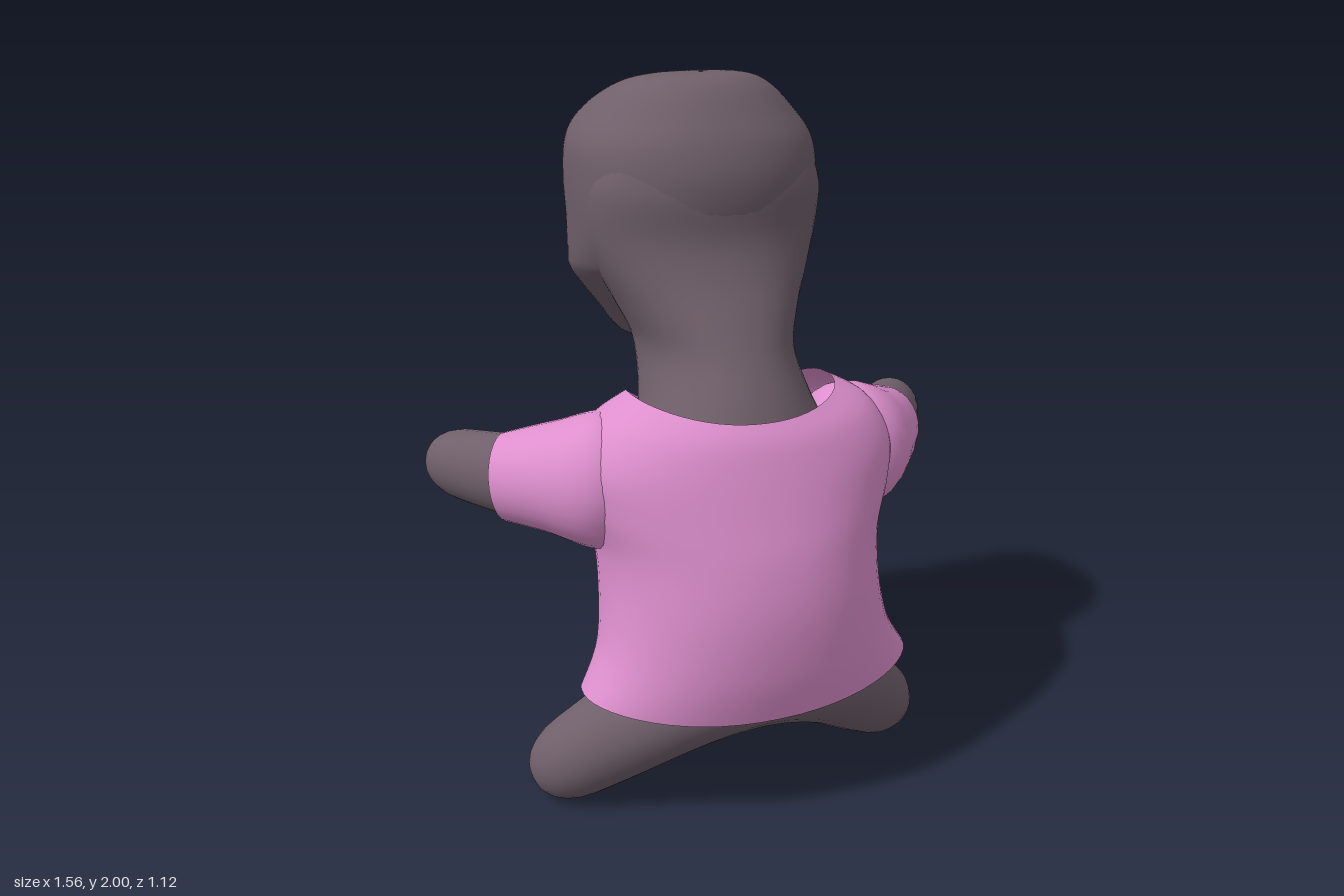
import * as THREE from 'three';

const skin = new THREE.MeshStandardMaterial({ color: 0x6f5f6a, side: THREE.DoubleSide });
skin.name = 'dusky skin';
const cloth = new THREE.MeshStandardMaterial({ color: 0xdd8fcd, side: THREE.DoubleSide });
cloth.name = 'pink cloth';

// Smooth interpolation through a list of number rows, t in 0..1
function sample(rows, t) {
  const f = t * (rows.length - 1);
  const i = Math.min(Math.floor(f), rows.length - 2);
  const u = f - i;
  const at = (k) => rows[Math.max(0, Math.min(rows.length - 1, k))];
  const [a, b, c, d] = [at(i - 1), at(i), at(i + 1), at(i + 2)];
  return b.map((_, k) => {
    const m0 = (c[k] - a[k]) / 2, m1 = (d[k] - b[k]) / 2;
    return b[k] + u * (m0 + u * (3 * (c[k] - b[k]) - 2 * m0 - m1 + u * (2 * (b[k] - c[k]) + m0 + m1)));
  });
}

// Skin a list of closed rings of points
function loft(name, rings, material) {
  const n = rings[0].length, index = [];
  for (let i = 0; i < rings.length - 1; i++) {
    for (let j = 0; j < n; j++) {
      const a = i * n + j, b = i * n + (j + 1) % n;
      index.push(a, b, b + n, a, b + n, a + n);
    }
  }
  const geo = new THREE.BufferGeometry().setFromPoints(rings.flat());
  geo.setIndex(index);
  geo.computeVertexNormals();
  const mesh = new THREE.Mesh(geo, material);
  mesh.name = name;
  return mesh;
}

// Upright body: rows are [ySide, yBack, yFaceSide, halfWidth, zBack, zFaceSide].
// The back half is round, the face half is squared off by the power.
function upright(name, rows, material, power, steps, segs, shape) {
  const rings = [];
  for (let i = 0; i <= steps; i++) {
    const [ys, yb, yf, hx, zb, zf] = sample(rows, i / steps);
    const ring = [];
    for (let j = 0; j < segs; j++) {
      const a = (j / segs) * Math.PI * 2, s = Math.sin(a), c = Math.cos(a);
      const q = c > 0 ? 0.95 : power;
      const sp = Math.sign(s) * Math.abs(s) ** q, cp = Math.sign(c) * Math.abs(c) ** q;
      const p = new THREE.Vector3(hx * sp, ys + ((c > 0 ? yb : yf) - ys) * c * c,
        (zb + zf) / 2 + cp * (zb - zf) / 2);
      if (shape) shape(p, c);
      ring.push(p);
    }
    rings.push(ring);
  }
  return loft(name, rings, material);
}

// Limb along a path: rows are [x, y, z, radius across, radius along ref]
function limb(name, rows, ref, material, roundStart, roundEnd, cap = 0.25) {
  const rings = [], steps = 32, segs = 28;
  const taper = (d) => (d < cap ? Math.sqrt(Math.max(0.0004, 1 - (1 - d / cap) ** 2)) : 1);
  for (let i = 0; i <= steps; i++) {
    const u = 0.5 - 0.5 * Math.cos((i / steps) * Math.PI);
    const row = sample(rows, u);
    const centre = new THREE.Vector3(...row.slice(0, 3));
    const before = sample(rows, Math.max(0, u - 0.02)), after = sample(rows, Math.min(1, u + 0.02));
    const dir = new THREE.Vector3(...after.slice(0, 3)).sub(new THREE.Vector3(...before.slice(0, 3))).normalize();
    const side = new THREE.Vector3().crossVectors(ref, dir).normalize();
    const up = new THREE.Vector3().crossVectors(dir, side);
    const k = (roundStart ? taper(u) : 1) * (roundEnd ? taper(1 - u) : 1);
    const ring = [];
    for (let j = 0; j < segs; j++) {
      const a = (j / segs) * Math.PI * 2;
      ring.push(centre.clone().addScaledVector(side, Math.cos(a) * row[3] * k)
        .addScaledVector(up, Math.sin(a) * row[4] * k));
    }
    rings.push(ring);
  }
  return loft(name, rings, material);
}

// Dents and bumps of the face, which looks toward -z
const bump = (x, y, cx, cy, sx, sy) => Math.exp(-(((x - cx) / sx) ** 2) - ((y - cy) / sy) ** 2);
function sculptFace(p, c) {
  if (c >= 0) return;
  const y = p.y;
  p.x *= 1 - 0.28 * c * c * (1 - THREE.MathUtils.smoothstep(y, 1.42, 1.58)); // narrow jaw
  const x = Math.abs(p.x);
  const fade = Math.min(1, -c * 2.5);
  p.z += fade * (
    0.11 * bump(x, y, 0.19, 1.73, 0.085, 0.08)       // eye sockets
    - 0.025 * bump(x, y, 0.2, 1.84, 0.12, 0.04)      // brows
    + 0.03 * bump(x, y, 0, 1.85, 0.09, 0.06)         // dip between brows
    - 0.02 * bump(x, y, 0.22, 1.6, 0.08, 0.05)       // cheekbones
    - 0.035 * bump(x, y, 0, 1.6, 0.05, 0.06)         // nose
    + 0.05 * bump(x, y, 0.04, 1.56, 0.025, 0.025)    // nostrils
    + 0.04 * bump(x, y, 0, 1.495, 0.15, 0.022)       // mouth
    - 0.055 * bump(x, y, 0, 1.445, 0.16, 0.03));     // lower lip
}

export function createModel() {
  const model = new THREE.Group();
  const Y = new THREE.Vector3(0, 1, 0), Z = new THREE.Vector3(0, 0, 1);

  // Head, from chin to crown
  const level = (y, hx, zb, zf) => [y, y, y, hx, zb, zf];
  model.add(upright('head', [
    level(1.19, 0.01, -0.42, -0.45),
    level(1.2, 0.1, -0.32, -0.51),
    level(1.24, 0.15, -0.22, -0.55),
    level(1.3, 0.2, -0.1, -0.56),
    level(1.38, 0.27, -0.01, -0.51),
    level(1.45, 0.325, 0.05, -0.465),
    level(1.5, 0.34, 0.1, -0.43),
    level(1.6, 0.347, 0.165, -0.42),
    level(1.72, 0.352, 0.185, -0.44),
    level(1.82, 0.34, 0.165, -0.43),
    level(1.9, 0.285, 0.12, -0.4),
    level(1.965, 0.21, 0.07, -0.28),
    level(1.995, 0.13, 0.02, -0.15),
    level(2.0, 0.005, -0.05, -0.06),
  ], skin, 0.78, 96, 80, sculptFace));

  // Slanted neck, widening into the back of the skull
  model.add(upright('neck', [
    level(0.9, 0.3, 0.45, -0.06),
    level(1.05, 0.265, 0.425, -0.08),
    level(1.17, 0.225, 0.38, -0.18),
    level(1.28, 0.21, 0.32, -0.28),
    level(1.38, 0.25, 0.265, -0.32),
    level(1.48, 0.3, 0.21, -0.32),
    level(1.58, 0.332, 0.178, -0.3),
    level(1.7, 0.335, 0.178, -0.25),
    level(1.8, 0.3, 0.15, -0.2),
  ], skin, 0.95, 32, 48));

  // Shirt body with broad shoulders, dipped neckline and flared hem
  model.add(upright('shirtBody', [
    [0.39, 0.33, 0.35, 0.485, 0.52, 0.07],
    [0.5, 0.46, 0.48, 0.425, 0.55, 0.0],
    [0.65, 0.63, 0.64, 0.4, 0.56, -0.09],
    [0.78, 0.78, 0.76, 0.405, 0.54, -0.12],
    [0.9, 0.9, 0.86, 0.445, 0.505, -0.115],
    [1.02, 1.01, 0.94, 0.46, 0.47, -0.1],
    [1.125, 1.09, 1.01, 0.395, 0.44, -0.09],
    [1.185, 1.14, 1.06, 0.29, 0.405, -0.075],
  ], cloth, 0.88, 32, 56));

  // Sleeves and arms, reaching forward
  for (const [label, s] of [['left', 1], ['right', -1]]) {
    model.add(limb(label + 'Sleeve', [
      [s * 0.27, 0.95, 0.21, 0.1, 0.12],
      [s * 0.36, 0.95, 0.16, 0.175, 0.19],
      [s * 0.48, 0.94, 0.06, 0.155, 0.155],
      [s * 0.59, 0.925, -0.03, 0.115, 0.125],
    ], Y, cloth, false, false));
    model.add(limb(label + 'Arm', [
      [s * 0.42, 0.94, 0.12, 0.1, 0.12],
      [s * 0.58, 0.935, -0.02, 0.1, 0.115],
      [s * 0.745, 0.93, -0.26, 0.085, 0.09],
    ], Y, skin, false, true));
  }

  // Hips and both legs in one arch
  model.add(limb('hipsAndLegs', [
    [-0.575, 0.05, 0.11, 0.105, 0.105],
    [-0.4, 0.185, 0.2, 0.13, 0.135],
    [-0.2, 0.33, 0.28, 0.15, 0.18],
    [0, 0.385, 0.31, 0.16, 0.19],
    [0.2, 0.33, 0.28, 0.15, 0.18],
    [0.4, 0.185, 0.2, 0.13, 0.135],
    [0.575, 0.05, 0.11, 0.105, 0.105],
  ], Z, skin, true, true, 0.11));

  return model;
}
